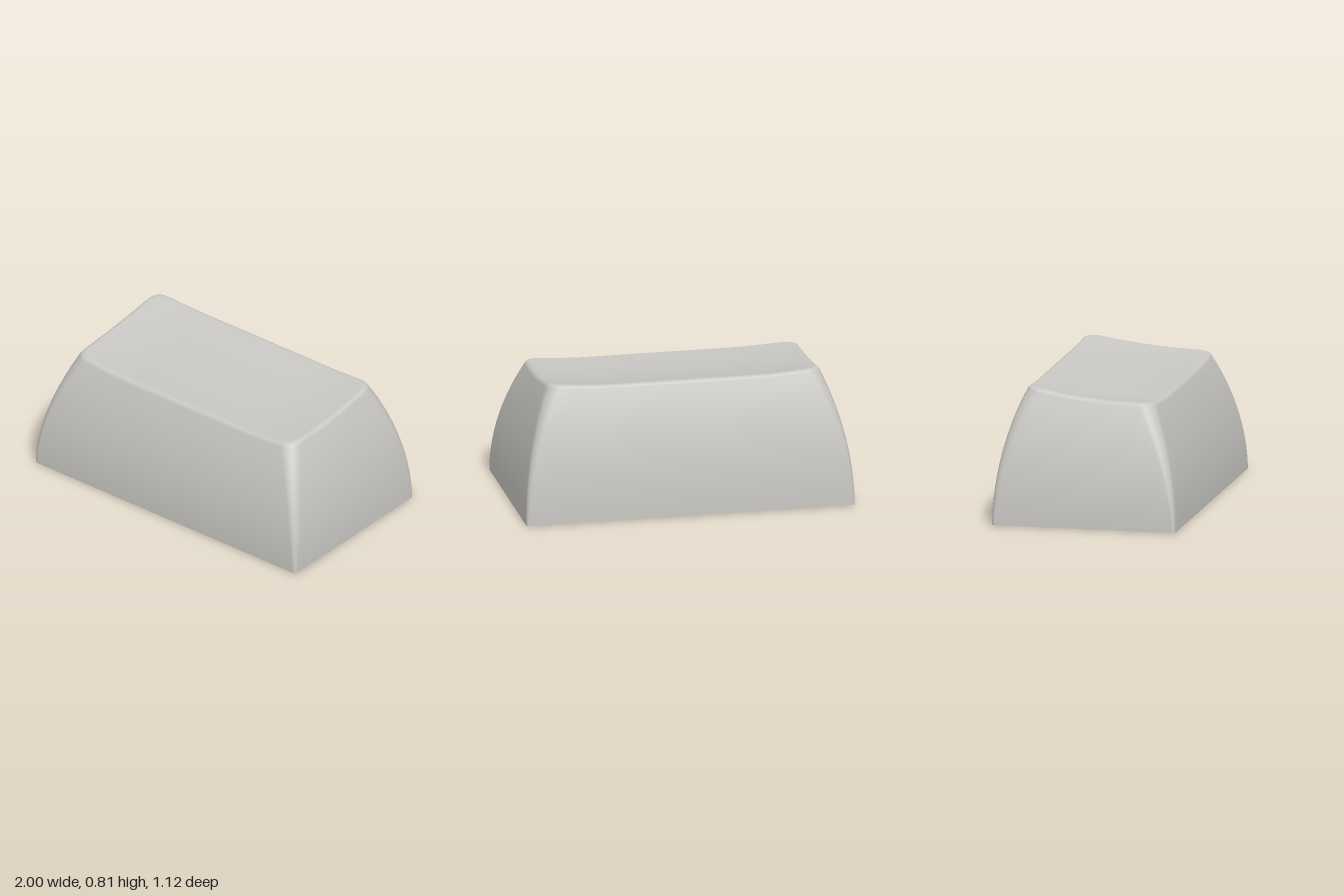
import * as THREE from 'three';
import { mergeVertices } from 'three/addons/utils/BufferGeometryUtils.js';

const HALF_X = 1, HALF_Z = 0.56;

// Height of the dished, back-raised top surface
function topY(x, z) {
  const s = THREE.MathUtils.clamp((Math.abs(x) - 0.4) / 0.42, 0, 1);
  return 0.748 + 0.075 * Math.max(0, (0.3 - z) / 0.68) ** 2 - 0.025 * (1 - s * s);
}

// Rounded rectangle as [x, z] points, corners joined by subdivided sides
function outline(a, b, r, cornerSteps = 6, sideSteps = 18) {
  const corners = [[1, 1], [-1, 1], [-1, -1], [1, -1]];
  const arcs = corners.map(([sx, sz], q) => {
    const arc = [];
    for (let i = 0; i <= cornerSteps; i++) {
      const t = (q + i / cornerSteps) * Math.PI / 2;
      arc.push([sx * (a - r) + r * Math.cos(t), sz * (b - r) + r * Math.sin(t)]);
    }
    return arc;
  });
  const pts = [];
  arcs.forEach((arc, q) => {
    pts.push(...arc);
    const p = arc[cornerSteps], n = arcs[(q + 1) % 4][0];
    for (let i = 1; i < sideSteps; i++) {
      const k = i / sideSteps;
      pts.push([p[0] + (n[0] - p[0]) * k, p[1] + (n[1] - p[1]) * k]);
    }
  });
  return pts;
}

// Skin a list of equal-length rings of [x, y, z] points
function loft(rings) {
  const n = rings[0].length, index = [];
  for (let i = 0; i < rings.length - 1; i++) {
    for (let j = 0; j < n; j++) {
      const a = i * n + j, b = i * n + (j + 1) % n;
      index.push(a, a + n, b, b, a + n, b + n);
    }
  }
  const geo = new THREE.BufferGeometry();
  geo.setAttribute('position', new THREE.Float32BufferAttribute(rings.flat(2), 3));
  geo.setIndex(index);
  return geo;
}

// Outer skin: curved walls, rounded top edge, dished top
function outerGeometry() {
  const rings = [];
  const addRing = (inset, f, drop) => {
    const a = HALF_X - inset, b = HALF_Z - inset;
    rings.push(outline(a, b, 0.02 + 0.06 * f).map(([x, z]) => {
      const px = x * (1 - 0.012 * f * f * (z / b) ** 2);
      const pz = z * (1 - 0.03 * f * f * (x / a) ** 4);
      return [px, (topY(px, pz) - drop) * f, pz];
    }));
  };
  const R = 0.035, start = 0.35;
  const startDrop = R * (1 - Math.sin(start));
  for (let i = 0; i <= 16; i++) addRing(0.16 * (i / 16) ** 2, i / 16, startDrop);
  for (let i = 1; i <= 6; i++) {
    const t = start + (Math.PI / 2 - start) * i / 6;
    addRing(0.16 + R * (Math.cos(start) - Math.cos(t)), 1, R * (1 - Math.sin(t)));
  }
  const crest = rings[rings.length - 1];
  for (let i = 1; i <= 20; i++) {
    const k = 1 - i / 20;
    rings.push(crest.map(([x, , z]) => [x * k, topY(x * k, z * k), z * k]));
  }
  const geo = mergeVertices(loft(rings), 1e-5);
  geo.computeVertexNormals();
  return geo;
}

// Underside: ceiling, tapered cavity walls and flat rim
function innerGeometry() {
  const ring = (a, b, r, y, k = 1) => outline(a, b, r, 6, 18).map(([x, z]) => [x * k, y, z * k]);
  const geo = loft([
    ring(0.83, 0.39, 0.004, 0.5, 0),
    ring(0.83, 0.39, 0.004, 0.5),
    ring(0.93, 0.49, 0.004, 0),
    ring(HALF_X, HALF_Z, 0.02, 0),
  ]).toNonIndexed();
  geo.computeVertexNormals();
  return geo;
}

// Stem: cylinder with a cross-shaped socket
function stemGeometry() {
  const shape = new THREE.Shape().absarc(0, 0, 0.167, 0, Math.PI * 2);
  const L = 0.118, w = 0.036;
  const quarter = [[L, -w], [L, w], [w, w]];
  const cross = [];
  for (let q = 0; q < 4; q++) {
    const c = Math.round(Math.cos(q * Math.PI / 2)), s = Math.round(Math.sin(q * Math.PI / 2));
    quarter.forEach(([x, y]) => cross.push(new THREE.Vector2(x * c - y * s, x * s + y * c)));
  }
  shape.holes.push(new THREE.Path(cross.reverse()));
  const geo = new THREE.ExtrudeGeometry(shape, { depth: 0.5, bevelEnabled: false, curveSegments: 32 });
  return geo.rotateX(-Math.PI / 2);
}

export function createModel() {
  const plastic = new THREE.MeshStandardMaterial({ color: 0xc8c7c3 });
  plastic.name = 'warm grey plastic';
  const group = new THREE.Group();
  group.name = 'keycap';
  const parts = { outerShell: outerGeometry(), innerCavity: innerGeometry(), stem: stemGeometry() };
  for (const [name, geo] of Object.entries(parts)) {
    const mesh = new THREE.Mesh(geo, plastic);
    mesh.name = name;
    group.add(mesh);
  }
  return group;
}
